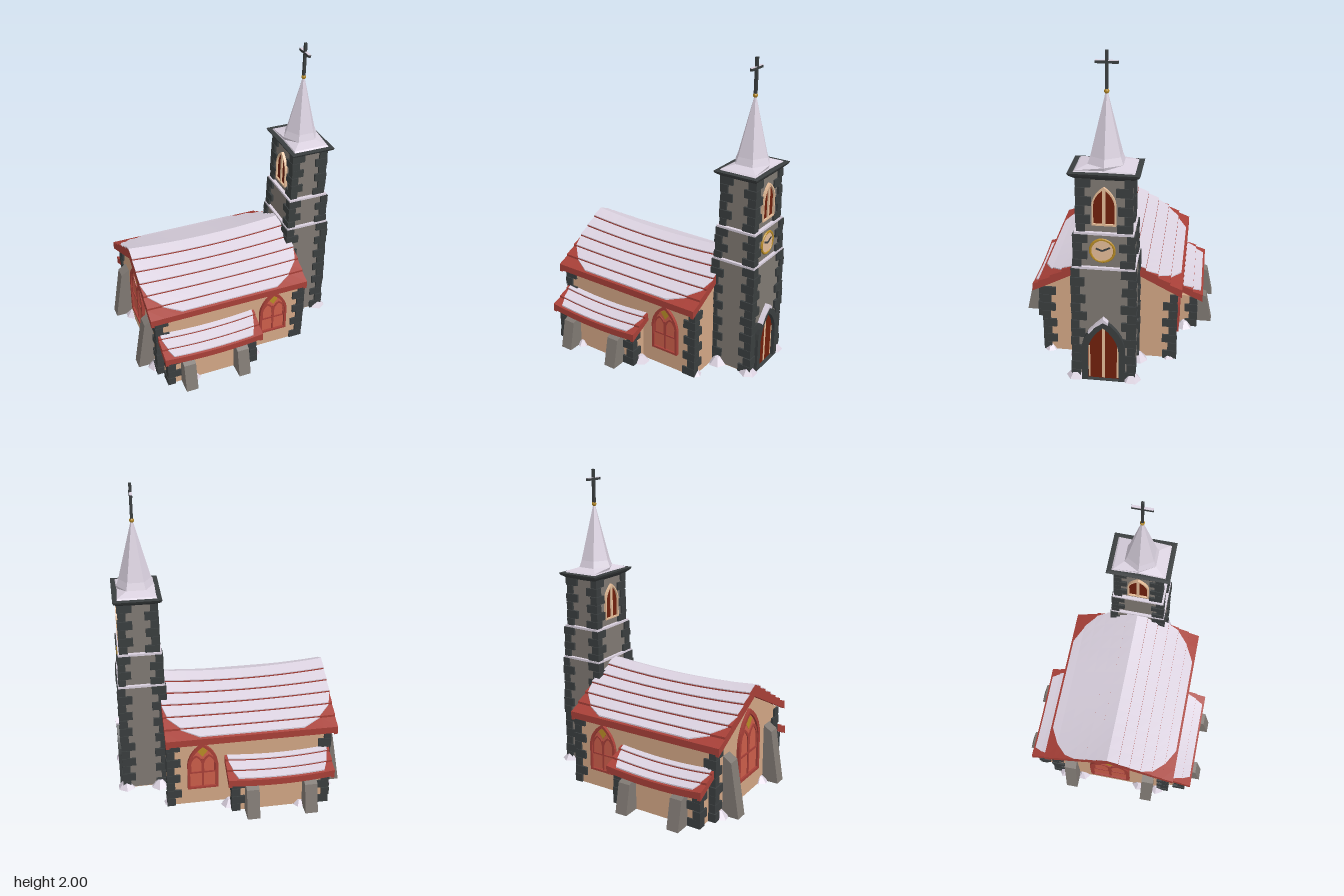
import * as THREE from 'three';
import { mergeGeometries } from 'three/addons/utils/BufferGeometryUtils.js';

const mat = (name, color) => Object.assign(new THREE.MeshStandardMaterial({ color, flatShading: true }), { name });
const M = {
  plaster: mat('tan plaster', 0xd2a685), slate: mat('dark slate', 0x3a3e3f), stone: mat('grey stone', 0x807973),
  wood: mat('red wood', 0xa84038), snow: mat('snow', 0xdad1df), door: mat('dark russet', 0x70200c),
  pane: mat('window red', 0xcc5e4a), cream: mat('cream', 0xe4bc98), gold: mat('gold', 0xb88c26),
};
let seed = 7;
const rnd = () => (seed = (seed * 16807) % 2147483647) / 2147483647;
const lerp = THREE.MathUtils.lerp;
const shapeOf = pts => new THREE.Shape(pts.map(q => new THREE.Vector2(...q)));

function add(parent, geo, material, name, x = 0, y = 0, z = 0, ry = 0) {
  const m = new THREE.Mesh(geo, material);
  m.name = name;
  m.position.set(x, y, z);
  m.rotation.y = ry;
  parent.add(m);
  return m;
}
// box standing on height y
const block = (p, material, name, w, h, d, x, y, z) =>
  add(p, new THREE.BoxGeometry(w, h, d), material, name, x, y + h / 2, z);

// closed skin over rings of [x, y, z] points
function loft(rings) {
  const v = [], n = rings[0].length;
  for (let i = 0; i < rings.length - 1; i++) for (let j = 0; j < n; j++) {
    const k = (j + 1) % n, a = rings[i][j], b = rings[i][k], c = rings[i + 1][k], d = rings[i + 1][j];
    v.push(...a, ...b, ...c, ...a, ...c, ...d);
  }
  const f = rings[0], l = rings[rings.length - 1];
  for (let j = 1; j < n - 1; j++) v.push(...f[0], ...f[j + 1], ...f[j], ...l[0], ...l[j], ...l[j + 1]);
  const g = new THREE.BufferGeometry();
  g.setAttribute('position', new THREE.Float32BufferAttribute(v, 3));
  g.computeVertexNormals();
  return g;
}

// one sloping board of a roof side; o = [top inner, top outer, bottom inner, bottom outer] height offsets
function board(r, s, t0, t1, xAt, o) {
  const rings = [];
  for (let i = 0; i <= 12; i++) {
    const pt = (t, dy) => {
      const x = xAt(t, i / 12);
      return [x, r.y(x, t) + dy, s * lerp(r.z0, r.z1, t)];
    };
    const ring = [pt(t0, o[0]), pt(t1, o[1]), pt(t1, o[3]), pt(t0, o[2])];
    rings.push(s > 0 ? ring : ring.reverse());
  }
  return loft(rings);
}
// stepped plank rows with a snow sheet on each
function roofSide(p, r, s) {
  const full = (t, k) => lerp(r.x0, r.x1, k);
  const snowX = (t, k) => lerp(r.x0 + r.bare(t), r.x1 - r.bare(t), k);
  const planks = [], snow = [];
  for (let i = 0; i < r.rows; i++) {
    const t0 = i / r.rows, t1 = (i + 1) / r.rows, last = i === r.rows - 1;
    planks.push(board(r, s, t0, t1, full, [0, r.step, -0.03, -0.03]));
    const te = last ? t1 - 0.2 / r.rows : t1 - 0.01 / r.rows;
    snow.push(board(r, s, t0, te, snowX, [0.006, r.step + 0.006, -0.002, r.step - 0.003]));
  }
  add(p, mergeGeometries(planks), M.wood, 'roofPlanks');
  add(p, mergeGeometries(snow), M.snow, 'roofSnow');
  // gable boards
  for (const x of [r.x0, r.x1 - 0.022])
    add(p, board(r, s, 0, 1, (t, k) => x + 0.022 * k, [-0.005, -0.005, -r.barge, -0.04]), M.wood, 'bargeBoard');
}

// alternating corner stones on a rectangular block
function quoins(p, cx, cz, hx, hz, y0, y1, corners) {
  const n = Math.round((y1 - y0) / 0.056), h = (y1 - y0) / n, geos = [];
  for (const [sx, sz] of corners) for (let i = 0; i < n; i++) {
    const long = (i + (sx * sz > 0 ? 1 : 0)) % 2, out = 0.01 + rnd() * 0.006;
    const dx = (long ? 0.082 : 0.046) + rnd() * 0.01, dz = (long ? 0.046 : 0.082) + rnd() * 0.01;
    geos.push(new THREE.BoxGeometry(dx, h * 0.94, dz).translate(
      cx + sx * (hx + out - dx / 2), y0 + (i + 0.5) * h, cz + sz * (hz + out - dz / 2)));
  }
  add(p, mergeGeometries(geos), M.slate, 'cornerStones');
}
const ALL = [[1, 1], [1, -1], [-1, 1], [-1, -1]];

// pointed arch outline
function arch(w, h, y0 = 0, x = 0, C = THREE.Shape) {
  const s = new C(), sp = y0 + (h - y0) * 0.55, a = w / 2;
  s.moveTo(x - a, y0); s.lineTo(x + a, y0); s.lineTo(x + a, sp);
  s.quadraticCurveTo(x + a * 0.9, lerp(sp, h, 0.6), x, h);
  s.quadraticCurveTo(x - a * 0.9, lerp(sp, h, 0.6), x - a, sp);
  return s;
}
const slab = (shape, depth) => new THREE.ExtrudeGeometry(shape, { depth, bevelEnabled: false, curveSegments: 6 });

function opening(p, name, frameMat, paneMat, w, h, rim, depth, y0, x, y, z, ry) {
  const g = new THREE.Group();
  g.name = name;
  g.position.set(x, y, z);
  g.rotation.y = ry;
  p.add(g);
  const outer = arch(w, h);
  outer.holes.push(arch(w - 2 * rim, h - rim * 1.4, y0, 0, THREE.Path));
  add(g, slab(outer, depth), frameMat, 'frame');
  add(g, slab(arch(w - rim, h - rim, y0 / 2), 0.006), paneMat, 'panel');
  return g;
}
function redWindow(p, w, h, x, y, z, ry) {
  const g = opening(p, 'archedWindow', M.wood, M.pane, w, h, w * 0.08, 0.02, w * 0.07, x, y, z, ry);
  block(g, M.wood, 'mullion', w * 0.06, h * 0.62, 0.012, 0, 0.01, 0.006);
  block(g, M.wood, 'crossbar', w * 0.85, 0.01, 0.012, 0, h * 0.34, 0.006);
  for (const s of [-1, 1]) { // two lancet heads
    const lancet = arch(w * 0.42, h * 0.74, h * 0.36, s * w * 0.21);
    lancet.holes.push(arch(w * 0.33, h * 0.7, h * 0.37, s * w * 0.21, THREE.Path));
    add(g, slab(lancet, 0.012), M.wood, 'lancet');
  }
  const d = shapeOf([[0, 0.7], [0.17, 0.83], [0, 0.91], [-0.17, 0.83]].map(q => [q[0] * w, q[1] * h]));
  add(g, slab(d, 0.009), M.gold, 'goldPane');
}

// leaning support with its back to the wall at x, z
function buttress(p, base, mid, yMid, yTop, x, z, ry) {
  const s = shapeOf([[-0.03, 0], [base, 0], [mid, yMid], [-0.03, yTop]]);
  add(p, slab(s, 0.08).translate(0, 0, -0.04), M.stone, 'buttress', x, 0, z, ry);
}

export function createModel() {
  const root = new THREE.Group(), c = new THREE.Group();
  root.name = 'model';
  c.name = 'church';
  c.rotation.y = 0.3316;
  c.position.set(-0.09, 0, -0.055);
  root.add(c);

  // nave walls with gables
  const W = 0.412;
  const nave = shapeOf([[-W, 0], [W, 0], [W, 0.465], [0, 0.687], [-W, 0.465]]);
  add(c, slab(nave, 1.03), M.plaster, 'naveWalls', -0.5, 0, 0, Math.PI / 2);
  quoins(c, 0.015, 0, 0.515, W, 0, 0.46, ALL);

  const mainRoof = {
    x0: -0.545, x1: 0.545, z0: 0, z1: 0.45, rows: 6, step: 0.014, barge: 0.075,
    y: (x, t) => lerp(0.752 - 0.03 * (1 - (x / 0.545) ** 2), 0.485, t),
    bare: t => 0.25 * Math.max(0, (t - 0.45) / 0.55) ** 2.5,
  };
  const aisleRoof = {
    x0: -0.5, x1: 0.175, z0: 0.38, z1: 0.577, rows: 3, step: 0.013, barge: 0.045,
    y: (x, t) => lerp(0.35, 0.25, t) - 0.02 * (1 - ((x + 0.1625) / 0.3375) ** 2),
    bare: t => 0.012 + 0.06 * t * t,
  };
  // both long sides: roof, aisle, buttresses, window
  for (const s of [1, -1]) {
    roofSide(c, mainRoof, s);
    roofSide(c, aisleRoof, s);
    block(c, M.plaster, 'aisleWalls', 0.6, 0.23, 0.13, -0.165, 0, s * 0.465);
    quoins(c, -0.165, s * 0.45, 0.3, 0.08, 0, 0.225, [[1, s], [-1, s]]);
    for (const x of [-0.345, 0.025]) buttress(c, 0.11, 0.07, 0.19, 0.23, x, s * 0.53, -s * Math.PI / 2);
    buttress(c, 0.112, 0.055, 0.355, 0.41, -0.5, s * 0.275, Math.PI);
    redWindow(c, 0.195, 0.33, 0.315, 0.12, s * W, s > 0 ? 0 : Math.PI);
  }
  redWindow(c, 0.28, 0.46, -0.5, 0.13, 0, -Math.PI / 2);

  // tower in three stages
  const T = 0.66;
  block(c, M.plaster, 'towerFloor', 0.28, 0.003, 0.36, T, 0, 0);
  for (const [hx, hz, y0, y1] of [[0.14, 0.18, 0.003, 0.75], [0.128, 0.167, 0.75, 0.965], [0.112, 0.15, 0.965, 1.305]]) {
    block(c, M.stone, 'towerStage', hx * 2, y1 - y0, hz * 2, T, y0, 0);
    quoins(c, T, 0, hx, hz, y0 < 0.01 ? 0 : y0 + 0.004, y1, ALL);
    if (y1 < 1) block(c, M.snow, 'ledgeSnow', hx * 2 + 0.014, 0.014, hz * 2 + 0.014, T, y1 - 0.003, 0);
  }
  const rect = (hx, hz, y) => [[-hx, y, -hz], [-hx, y, hz], [hx, y, hz], [hx, y, -hz]];
  add(c, loft([rect(0.115, 0.155, 1.295), rect(0.142, 0.198, 1.322), rect(0.148, 0.206, 1.336), rect(0.13, 0.19, 1.338)]),
    M.slate, 'towerCornice', T);

  // snowy spire: rectangle at the foot easing into a hexagon
  const hex = (r, y) => [30, 90, 150, 210, 270, 330].map(a => {
    const q = a * Math.PI / 180;
    return [r * Math.sin(q), y, r * Math.cos(q)];
  });
  const foot = [[0.122, 0.178], [0.116, 0], [0.122, -0.178], [-0.122, -0.178], [-0.116, 0], [-0.122, 0.178]].map(q => [q[0], 1.335, q[1]]);
  add(c, loft([foot, foot.map(q => [q[0] * 0.95, 1.346, q[2] * 0.92]), hex(0.117, 1.366), hex(0.1, 1.41), hex(0.008, 1.765)]), M.snow, 'spire', T);
  add(c, new THREE.SphereGeometry(0.015, 10, 8), M.gold, 'finialBall', T, 1.775, 0);
  block(c, M.slate, 'crossPost', 0.017, 0.22, 0.017, T, 1.78, 0);
  block(c, M.slate, 'crossBar', 0.017, 0.015, 0.13, T, 1.928, 0);
  block(c, M.snow, 'crossBarSnow', 0.016, 0.003, 0.128, T, 1.943, 0);

  // door
  const R = Math.PI / 2;
  const door = opening(c, 'door', M.slate, M.door, 0.26, 0.42, 0.036, 0.03, 0.004, T + 0.14, 0, 0, R);
  block(door, M.cream, 'doorStrip', 0.018, 0.345, 0.006, 0, 0.008, 0.005);
  for (const x of [-0.086, 0.086]) block(door, M.cream, 'doorJamb', 0.01, 0.22, 0.006, x, 0.01, 0.004);
  const cap = shapeOf([[-0.085, 0.325], [-0.05, 0.372], [0, 0.408], [0.03, 0.392], [0.03, 0.408], [0, 0.434], [-0.05, 0.385], [-0.092, 0.337]]);
  add(door, slab(cap, 0.034), M.snow, 'doorArchSnow');

  // belfry windows front and back
  for (const s of [1, -1]) {
    const w = opening(c, 'belfryWindow', M.cream, M.door, 0.14, 0.235, 0.009, 0.018, 0.01, T + s * 0.112, 1.02, 0, s * R);
    block(w, M.cream, 'belfryMullion', 0.018, 0.215, 0.014, 0, 0.005, 0.008);
  }

  // clock
  const clock = new THREE.Group();
  clock.name = 'clock';
  clock.position.set(T + 0.128, 0.865, 0.008);
  clock.rotation.y = R;
  c.add(clock);
  add(clock, new THREE.CylinderGeometry(0.068, 0.068, 0.012, 24).rotateX(R), M.cream, 'clockFace');
  add(clock, new THREE.TorusGeometry(0.07, 0.008, 6, 24), M.gold, 'clockRim', 0, 0, 0.004);
  for (const [len, a] of [[0.05, -1.1], [0.04, 1.2]])
    add(clock, new THREE.BoxGeometry(0.01, len, 0.004).translate(0, len / 2, 0), M.slate, 'clockHand', 0, 0, 0.008).rotation.z = a;

  // snow drifts at the foot of the walls
  for (const [x, z, r] of [[0.79, 0.17, 0.06], [0.79, -0.17, 0.06], [0.57, 0.19, 0.06], [0.57, -0.19, 0.06], [0.52, 0.38, 0.045],
    [0.52, -0.38, 0.045], [0.15, 0.46, 0.055], [0.15, -0.46, 0.055], [-0.5, 0.34, 0.055], [-0.5, -0.34, 0.055],
    [-0.5, 0.21, 0.05], [-0.5, -0.21, 0.05], [-0.29, 0.53, 0.04], [-0.29, -0.53, 0.04]])
    add(c, new THREE.CylinderGeometry(r * 0.3, r, r * 0.8, 6), M.snow, 'snowDrift', x, r * 0.4, z, rnd() * 3);
  return root;
}
